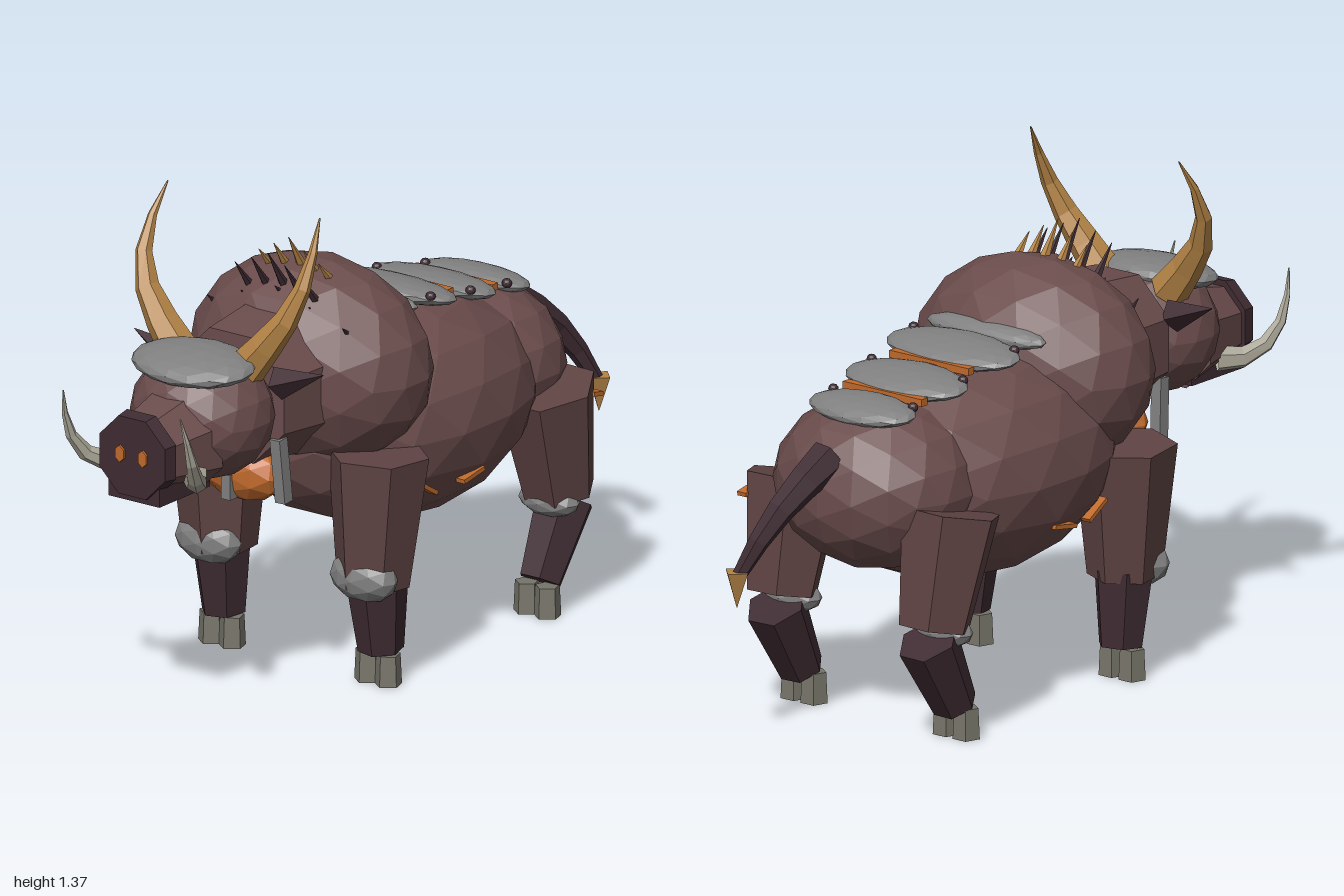
import * as THREE from 'three';

const mat = (color) => new THREE.MeshStandardMaterial({ color, flatShading: true, side: THREE.DoubleSide });
const V = (p) => new THREE.Vector3(...p);
const UP = new THREE.Vector3(0, 1, 0);

export function createModel() {
  const model = new THREE.Group();
  const hide = mat(0x6b4c4c), thighHide = mat(0x5f4343), dark = mat(0x3f2c33), stone = mat(0x808080);
  const hornMat = mat(0xb48446), ivory = mat(0xaaa697), hoofMat = mat(0x77756a), ember = mat(0xc06a2c);

  function add(name, geometry, material, pos = [0, 0, 0], rot = [0, 0, 0]) {
    const m = new THREE.Mesh(geometry, material);
    m.name = name;
    m.position.set(...pos);
    m.rotation.set(...rot);
    model.add(m);
    return m;
  }
  // Faceted ellipsoid
  const blob = (name, material, pos, size, detail = 2, rot) =>
    add(name, new THREE.IcosahedronGeometry(1, detail).scale(...size), material, pos, rot);
  // Tapered prism from a (radius ra) to b (radius rb)
  function limb(name, material, a, b, ra, rb, sides = 6, turn = 0) {
    const from = V(a), to = V(b), dir = to.clone().sub(from);
    const g = new THREE.CylinderGeometry(rb, ra, dir.length(), sides).rotateY(turn);
    const m = add(name, g, material, from.add(to).multiplyScalar(0.5).toArray());
    m.quaternion.setFromUnitVectors(UP, dir.normalize());
    return m;
  }
  // Curved tube whose radius runs from r0 to r1
  function taper(name, material, pts, r0, r1, segs = 5, sides = 6) {
    const path = new THREE.CatmullRomCurve3(pts.map(V));
    const g = new THREE.TubeGeometry(path, segs, 1, sides);
    const p = g.attributes.position, v = new THREE.Vector3();
    for (let i = 0; i < p.count; i++) {
      const u = Math.floor(i / (sides + 1)) / segs, c = path.getPointAt(u);
      v.fromBufferAttribute(p, i).sub(c).multiplyScalar(r0 + (r1 - r0) * u).add(c);
      p.setXYZ(i, v.x, v.y, v.z);
    }
    return add(name, g, material);
  }

  // Torso
  blob('barrel', hide, [0, 0.64, -0.14], [0.36, 0.31, 0.5]);
  blob('rump', hide, [0, 0.66, -0.49], [0.29, 0.235, 0.255]);
  blob('shoulderHump', hide, [0, 0.84, 0.17], [0.36, 0.29, 0.255]);
  limb('neck', hide, [0, 0.83, 0.26], [0, 0.83, 0.52], 0.22, 0.19, 8, Math.PI / 8);

  // Head
  blob('head', hide, [0, 0.82, 0.645], [0.2, 0.18, 0.18]);
  limb('snout', hide, [0, 0.775, 0.74], [0, 0.77, 0.925], 0.15, 0.108, 8, Math.PI / 8);
  limb('noseDisc', dark, [0, 0.775, 0.912], [0, 0.775, 0.953], 0.125, 0.118, 8, Math.PI / 8);
  add('jaw', new THREE.BoxGeometry(0.17, 0.05, 0.22), dark, [0, 0.675, 0.835]);
  blob('browPlate', stone, [0, 0.968, 0.685], [0.185, 0.042, 0.125], 2, [0.12, 0, 0]);
  blob('throatEmber', ember, [0, 0.61, 0.47], [0.135, 0.085, 0.07], 1);
  add('chinBlade', new THREE.BoxGeometry(0.03, 0.07, 0.03), stone, [0, 0.58, 0.53]);

  for (const s of [1, -1]) {
    taper('horn', hornMat, [[s * 0.11, 0.95, 0.6], [s * 0.18, 1.035, 0.595], [s * 0.25, 1.14, 0.575],
      [s * 0.268, 1.25, 0.53], [s * 0.253, 1.365, 0.465]], 0.055, 0.002);
    taper('tusk', ivory, [[s * 0.1, 0.71, 0.81], [s * 0.16, 0.715, 0.88], [s * 0.195, 0.77, 0.94],
      [s * 0.204, 0.85, 0.975], [s * 0.195, 0.935, 0.998]], 0.036, 0.002);
    limb('ear', dark, [s * 0.17, 0.905, 0.54], [s * 0.315, 0.955, 0.53], 0.045, 0.001, 4);
    add('nostril', new THREE.CylinderGeometry(0.02, 0.02, 0.015, 6).rotateX(Math.PI / 2).scale(0.8, 1.2, 1),
      ember, [s * 0.038, 0.78, 0.952]);
    add('hangingBlade', new THREE.BoxGeometry(0.033, 0.18, 0.035), stone, [s * 0.155, 0.65, 0.505], [0.08, 0, s * 0.04]);
  }

  // Mane: a dark row leaning forward and a tan row behind it
  for (let i = -2; i <= 2; i++) {
    const x = i * 0.055, drop = Math.abs(i) * 0.018;
    limb('maneSpike', dark, [x, 1.05 - drop * 0.7, 0.27], [x, 1.185 - drop * 1.3, 0.36], 0.017, 0.001, 5);
    limb('rearManeSpike', hornMat, [x * 0.9, 1.1 - drop * 0.6, 0.205], [x * 0.9, 1.205 - drop * 1.5, 0.27], 0.016, 0.001, 5);
    limb('sideBristle', dark, [x * 2, 1.05 - drop * 2, 0.29], [x * 2.05, 1.085 - drop * 2, 0.33], 0.012, 0.001, 5);
  }

  // Back plates with rivets, and glowing seams between them
  [[0.965, -0.03, 0.2, 0.05], [0.948, -0.17, 0.215, 0.1], [0.908, -0.365, 0.195, 0.1], [0.873, -0.55, 0.17, 0.085]]
    .forEach(([y, z, rx, rz], i) => {
      blob('backPlate', stone, [0, y, z], [rx, 0.032, rz], 2, [-0.15, 0, 0]);
      if (!i) return;
      for (const s of [1, -1]) blob('rivet', dark, [s * rx * 0.8, y + 0.018, z + 0.045], [0.014, 0.014, 0.014], 1);
      if (i < 3) add('backSeam', new THREE.BoxGeometry(0.27, 0.02, 0.025), ember, [0, y - 0.015, z - 0.09]);
    });

  // Legs: thigh, knee cap, shin and a cloven hoof
  const legs = {
    front: { hip: [0.265, 0.645, 0.225], knee: [0.255, 0.28, 0.235], shin: [0.26, 0.3, 0.225], ankle: [0.262, 0.09, 0.21],
      cap: [0.258, 0.31, 0.28], capSize: [0.105, 0.068, 0.06], hoofZ: 0.22 },
    hind: { hip: [0.265, 0.63, -0.505], knee: [0.26, 0.32, -0.57], shin: [0.26, 0.29, -0.595], ankle: [0.262, 0.09, -0.485],
      cap: [0.258, 0.305, -0.53], capSize: [0.095, 0.045, 0.055], hoofZ: -0.475 },
  };
  for (const [end, L] of Object.entries(legs)) {
    for (const s of [1, -1]) {
      const side = ([x, y, z]) => [s * x, y, z];
      limb(end + 'Thigh', thighHide, side(L.hip), side(L.knee), 0.14, 0.1, 6, Math.PI / 6 + s * 0.15);
      limb(end + 'Shin', dark, side(L.shin), side(L.ankle), 0.085, 0.062, 6, Math.PI / 6);
      blob(end + 'KneeCap', stone, side(L.cap), L.capSize, 1);
      for (const dx of [-0.034, 0.034])
        add(end + 'Toe', new THREE.CylinderGeometry(0.034, 0.038, 0.085, 5), hoofMat, [s * 0.26 + dx, 0.0425, L.hoofZ]);
    }
  }

  // Glowing cracks along the flanks and on one thigh
  for (const s of [1, -1]) {
    add('flankCrack', new THREE.BoxGeometry(0.03, 0.012, 0.085), ember, [s * 0.295, 0.507, 0.06], [-0.55, 0, 0]);
    add('flankCrack', new THREE.BoxGeometry(0.03, 0.012, 0.09), ember, [s * 0.32, 0.505, -0.105], [0.17, 0, 0]);
  }
  add('thighCrack', new THREE.BoxGeometry(0.03, 0.012, 0.04), ember, [0.34, 0.595, -0.62], [-0.2, 0, 0]);

  // Tail with a pointed tip
  taper('tail', dark, [[0, 0.77, -0.69], [0.015, 0.71, -0.79], [0.045, 0.62, -0.885], [0.09, 0.49, -0.955]], 0.055, 0.02, 4);
  limb('tailTip', hornMat, [0.095, 0.5, -0.96], [0.095, 0.4, -0.96], 0.038, 0.001, 4);

  return model;
}
